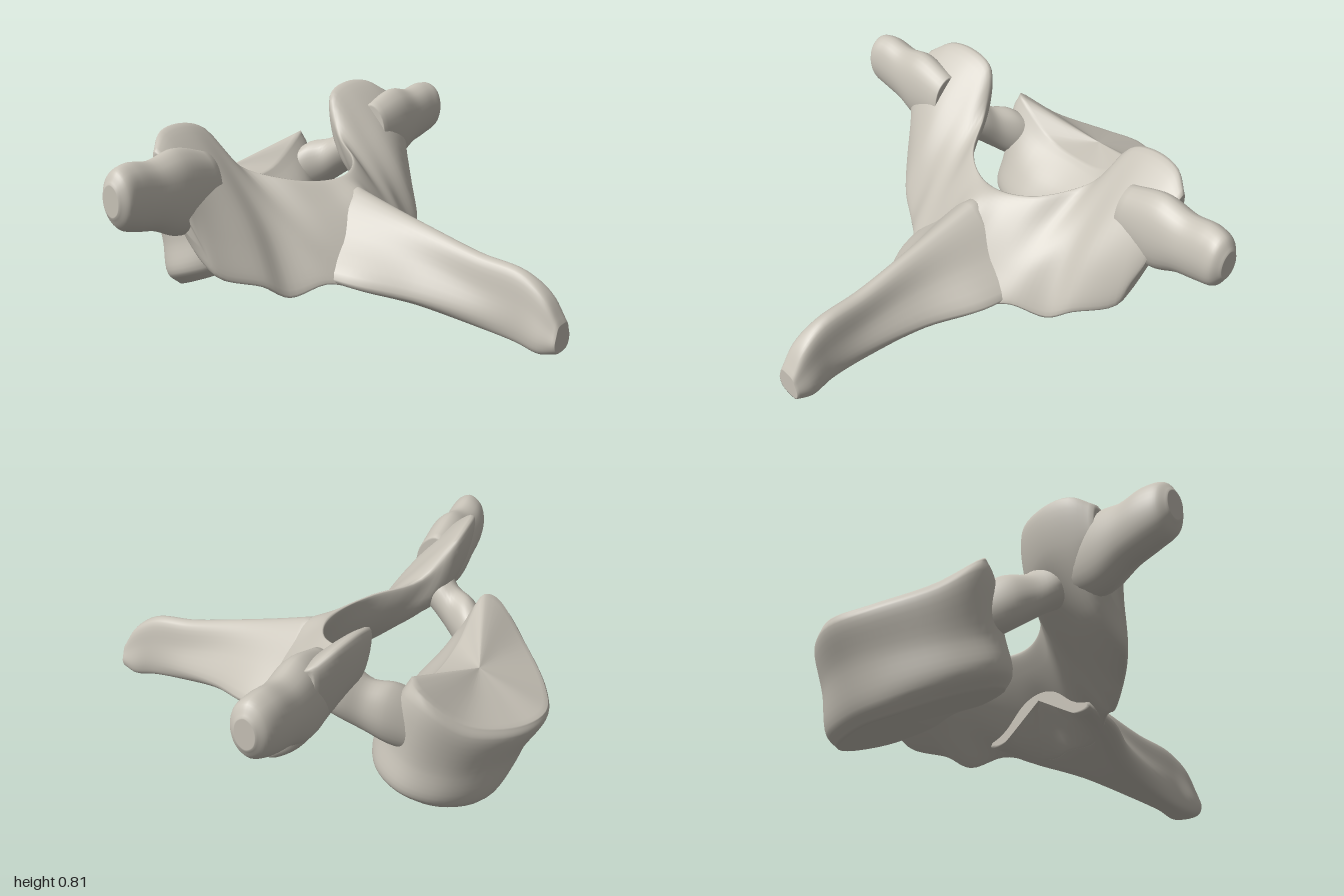
import * as THREE from 'three';

const bone = new THREE.MeshStandardMaterial({ color: 0xc8c3b8 });
bone.name = 'bone';

const V = (p) => new THREE.Vector3(...p);
const mirrorX = ([x, y, z]) => [-x, y, z];

// Closed ring from a half outline whose first and last points lie on x = 0
const symmetric = (half) => [...half, ...half.slice(1, -1).reverse().map(mirrorX)];

// Ring of eight points from a function of cosine and sine
const ring = (f) => Array.from({ length: 8 }, (_, i) => f(Math.cos(i * Math.PI / 4), Math.sin(i * Math.PI / 4)));

// Smooth closed skin through rings of matching control points
function loft(sections, around = 48, perSpan = 6) {
  const loops = sections.map((s) => new THREE.CatmullRomCurve3(s.map(V), true, 'centripetal'));
  const rows = (sections.length - 1) * perSpan;
  const rings = Array.from({ length: rows + 1 }, () => []);
  for (let i = 0; i < around; i++) {
    const rail = new THREE.CatmullRomCurve3(loops.map((l) => l.getPoint(i / around)), false, 'centripetal');
    for (let j = 0; j <= rows; j++) rings[j].push(rail.getPoint(j / rows));
  }
  // End caps: shrinking rings towards the middle of each end
  const middle = (r) => r.reduce((a, p) => a.add(p), new THREE.Vector3()).divideScalar(around);
  const shrink = (r, k) => { const c = middle(r); return r.map((p) => c.clone().lerp(p, k)); };
  const caps = [0.93, 0.5, 0.001];
  const first = rings[0], last = rings[rows];
  const all = [...caps.map((k) => shrink(first, k)).reverse(), ...rings, ...caps.map((k) => shrink(last, k))];

  const index = [];
  for (let j = 0; j < all.length - 1; j++) {
    for (let i = 0; i < around; i++) {
      const a = j * around + i, b = j * around + (i + 1) % around;
      index.push(a, b, a + around, b, b + around, a + around);
    }
  }
  // Turn the faces outward when the enclosed volume is negative
  const pts = all.flat();
  let volume = 0;
  for (let k = 0; k < index.length; k += 3) {
    volume += pts[index[k]].dot(pts[index[k + 1]].clone().cross(pts[index[k + 2]]));
  }
  if (volume < 0) index.reverse();
  const geo = new THREE.BufferGeometry().setFromPoints(pts);
  geo.setIndex(index);
  geo.computeVertexNormals();
  return geo;
}

export function createModel() {
  const model = new THREE.Group();
  model.name = 'vertebra';
  const add = (name, sections, around, perSpan) => {
    const mesh = new THREE.Mesh(loft(sections, around, perSpan), bone);
    mesh.name = name;
    model.add(mesh);
  };

  // Vertebral body: tilted block with a raised lip on each side, bottom to top
  add('vertebralBody', [
    [[0, 0.005, -0.79], [0.17, 0, -0.77], [0.33, 0.05, -0.65], [0.37, 0.1, -0.53], [0.33, 0.14, -0.43], [0.15, 0.16, -0.38], [0, 0.17, -0.39]],
    [[0, 0.05, -0.83], [0.18, 0.05, -0.81], [0.37, 0.1, -0.68], [0.425, 0.15, -0.55], [0.37, 0.19, -0.43], [0.17, 0.21, -0.35], [0, 0.22, -0.37]],
    [[0, 0.2, -0.885], [0.17, 0.2, -0.85], [0.35, 0.23, -0.72], [0.41, 0.28, -0.58], [0.36, 0.33, -0.46], [0.17, 0.33, -0.41], [0, 0.33, -0.42]],
    [[0, 0.33, -0.95], [0.17, 0.34, -0.9], [0.35, 0.4, -0.76], [0.42, 0.5, -0.63], [0.38, 0.53, -0.53], [0.17, 0.44, -0.51], [0, 0.43, -0.52]],
    [[0, 0.365, -0.945], [0.16, 0.375, -0.89], [0.33, 0.44, -0.75], [0.4, 0.57, -0.6], [0.36, 0.59, -0.555], [0.16, 0.475, -0.54], [0, 0.455, -0.54]],
  ].map(symmetric), 64);

  // Neural arch: laminae with the upper and lower joint knobs.
  // Each ring runs crest, upper outside, lower outside, bottom edge, lower inside, upper inside.
  const archHalf = [
    [[0.71, 0.75, -0.35], [0.71, 0.65, -0.24], [0.69, 0.5, -0.2], [0.66, 0.4, -0.18], [0.67, 0.45, -0.25], [0.7, 0.62, -0.35]],
    [[0.63, 0.8, -0.4], [0.62, 0.66, -0.24], [0.63, 0.45, -0.15], [0.63, 0.29, -0.13], [0.62, 0.36, -0.25], [0.62, 0.6, -0.38]],
    [[0.5, 0.805, -0.42], [0.5, 0.64, -0.23], [0.5, 0.42, -0.08], [0.51, 0.24, -0.02], [0.48, 0.37, -0.22], [0.5, 0.6, -0.4]],
    [[0.4, 0.77, -0.41], [0.4, 0.6, -0.23], [0.4, 0.4, -0.07], [0.42, 0.18, 0.03], [0.4, 0.3, -0.13], [0.38, 0.53, -0.36]],
    [[0.32, 0.62, -0.31], [0.3, 0.5, -0.14], [0.3, 0.35, 0.02], [0.3, 0.215, 0.11], [0.29, 0.28, -0.02], [0.31, 0.48, -0.24]],
    [[0.21, 0.565, -0.15], [0.2, 0.46, -0.03], [0.2, 0.32, 0.09], [0.2, 0.19, 0.18], [0.19, 0.25, 0.07], [0.2, 0.44, -0.1]],
    [[0.1, 0.545, -0.08], [0.1, 0.47, 0.02], [0.1, 0.34, 0.13], [0.1, 0.18, 0.22], [0.1, 0.25, 0.12], [0.1, 0.44, -0.03]],
  ];
  const archMiddle = [[0, 0.54, -0.06], [0, 0.5, 0.05], [0, 0.38, 0.15], [0, 0.18, 0.2], [0, 0.26, 0.13], [0, 0.45, -0.02]];
  add('neuralArch', [...archHalf, archMiddle, ...[...archHalf].reverse().map((s) => s.map(mirrorX))], 48, 5);

  // Spine: ridged blade narrowing forward to a blunt tip
  const spine = [
    [0.03, [0, 0.515], [0.06, 0.48], [0.17, 0.36], [0.29, 0.235], [0.2, 0.23], [0, 0.38]],
    [0.2, [0, 0.465], [0.045, 0.44], [0.13, 0.34], [0.255, 0.215], [0.18, 0.18], [0, 0.22]],
    [0.4, [0, 0.412], [0.035, 0.39], [0.08, 0.3], [0.15, 0.18], [0.11, 0.14], [0, 0.14]],
    [0.6, [0, 0.362], [0.03, 0.345], [0.055, 0.25], [0.09, 0.15], [0.065, 0.1], [0, 0.1]],
    [0.78, [0, 0.335], [0.03, 0.32], [0.05, 0.22], [0.06, 0.12], [0.045, 0.07], [0, 0.065]],
    [0.88, [0, 0.27], [0.035, 0.26], [0.055, 0.18], [0.07, 0.1], [0.055, 0.055], [0, 0.045]],
    [0.945, [0, 0.17], [0.035, 0.165], [0.05, 0.135], [0.06, 0.1], [0.045, 0.068], [0, 0.06]],
  ];
  add('spine', spine.map(([z, ...half]) => symmetric(half.map(([x, y]) => [x, y, z]))));

  // Side parts, built once for each side
  const wing = [ // x, y, z, half height, half depth
    [0.52, 0.59, -0.28, 0.13, 0.08], [0.68, 0.6, -0.28, 0.165, 0.09], [0.8, 0.615, -0.28, 0.13, 0.083],
    [0.9, 0.635, -0.275, 0.125, 0.08], [0.965, 0.643, -0.265, 0.105, 0.07], [0.995, 0.645, -0.265, 0.06, 0.04],
  ];
  const pedicle = [ // x, y, z, half width, half height
    [0.3, 0.36, -0.6, 0.08, 0.1], [0.365, 0.43, -0.5, 0.09, 0.12], [0.41, 0.47, -0.42, 0.08, 0.1],
    [0.45, 0.53, -0.34, 0.09, 0.1], [0.47, 0.54, -0.27, 0.07, 0.07],
  ];
  for (const [side, s] of [['left', 1], ['right', -1]]) {
    add(side + 'Wing', wing.map(([x, y, z, h, d]) => ring((c, n) => [s * x, y + h * n, z + d * c])), 32);
    add(side + 'Pedicle', pedicle.map(([x, y, z, w, h]) => ring((c, n) => [s * (x + w * c), y + h * n, z])), 32);
  }
  return model;
}
